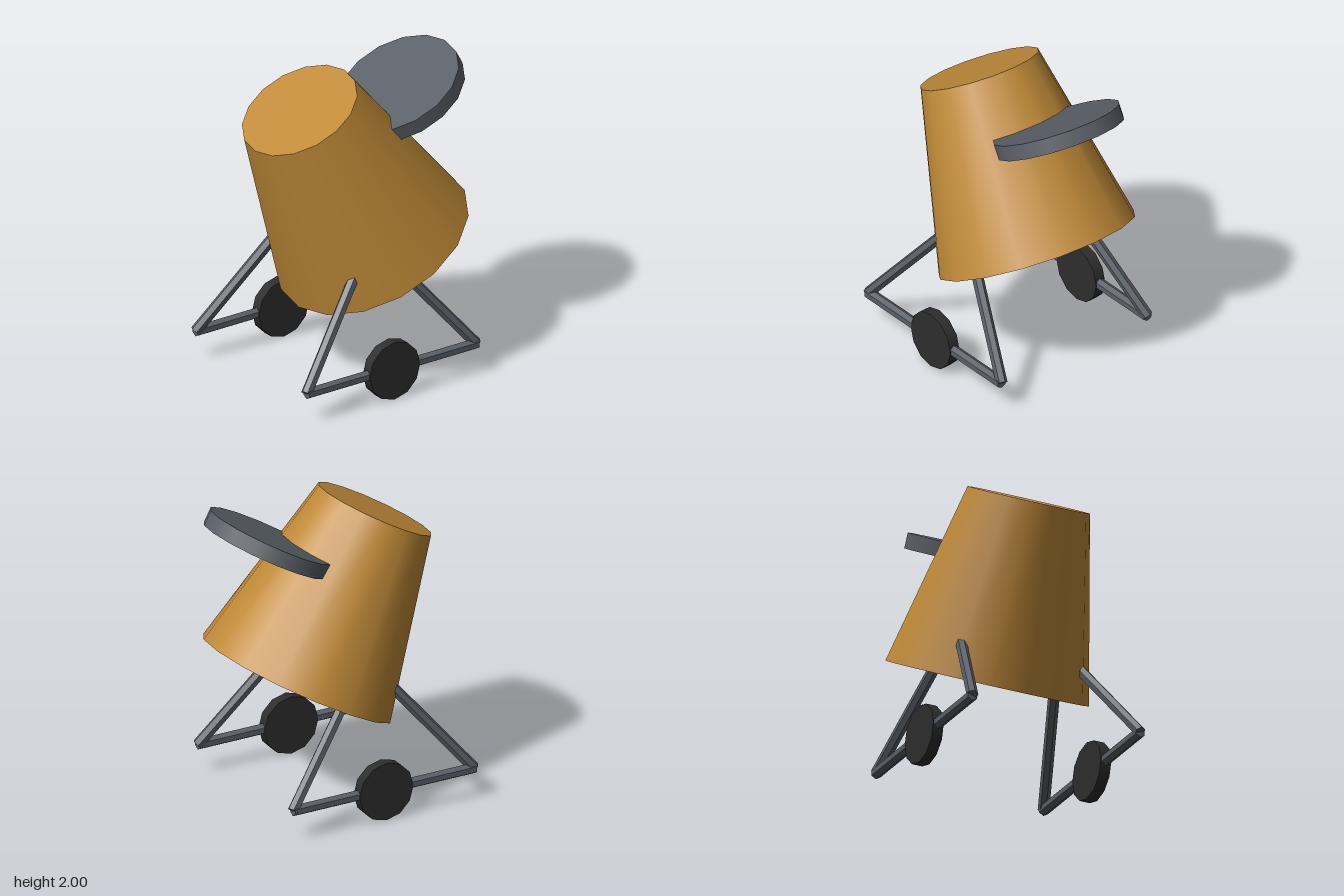
import * as THREE from 'three';

export function createModel() {
  const group = new THREE.Group();
  const orange = new THREE.MeshStandardMaterial({ color: 0xc08a38 });
  const steel = new THREE.MeshStandardMaterial({ color: 0x5a6068 });
  const steelFlat = new THREE.MeshStandardMaterial({ color: 0x5a6068, flatShading: true });
  const rubber = new THREE.MeshStandardMaterial({ color: 0x2d2d2d });

  const add = (name, geometry, material, parent = group) => {
    const mesh = new THREE.Mesh(geometry, material);
    mesh.name = name;
    parent.add(mesh);
    return mesh;
  };

  // Six-sided steel tube between two points
  const tube = (name, a, b, parent) => {
    const dir = b.clone().sub(a);
    const mesh = add(name, new THREE.CylinderGeometry(0.036, 0.036, dir.length(), 6), steelFlat, parent);
    mesh.position.copy(a).add(b).multiplyScalar(0.5);
    mesh.quaternion.setFromUnitVectors(new THREE.Vector3(0, 1, 0), dir.normalize());
  };

  const tilt = 0.5;

  // Tapered drum leaning towards the front
  const drum = add('drum', new THREE.CylinderGeometry(0.389, 0.647, 1.167, 16), orange);
  drum.position.set(0, 1.3025, 0.104);
  drum.rotation.x = tilt;

  // Round plate set into the back of the drum
  const plate = add('backPlate', new THREE.CylinderGeometry(0.415, 0.415, 0.1, 16), steel);
  plate.position.set(0, 1.756, -0.388);
  plate.rotation.x = tilt;

  // Stand on each side: bottom rail, two legs leaning into the drum, one wheel
  const midZ = 0.105;
  for (const side of [1, -1]) {
    const stand = new THREE.Group();
    stand.name = side > 0 ? 'leftStand' : 'rightStand';
    group.add(stand);
    const x = 0.585 * side;

    tube('rail', new THREE.Vector3(x, 0.2, midZ - 0.65), new THREE.Vector3(x, 0.2, midZ + 0.65), stand);
    for (const end of [1, -1]) {
      tube(end > 0 ? 'frontLeg' : 'backLeg',
        new THREE.Vector3(x, 0.2, midZ + 0.65 * end),
        new THREE.Vector3(0.385 * side, 0.88, midZ + 0.093 * end), stand);
    }

    const wheel = add('wheel', new THREE.CylinderGeometry(0.193, 0.193, 0.072, 12), rubber, stand);
    wheel.position.set(x, 0.197, midZ);
    wheel.rotation.z = Math.PI / 2;
  }

  return group;
}
